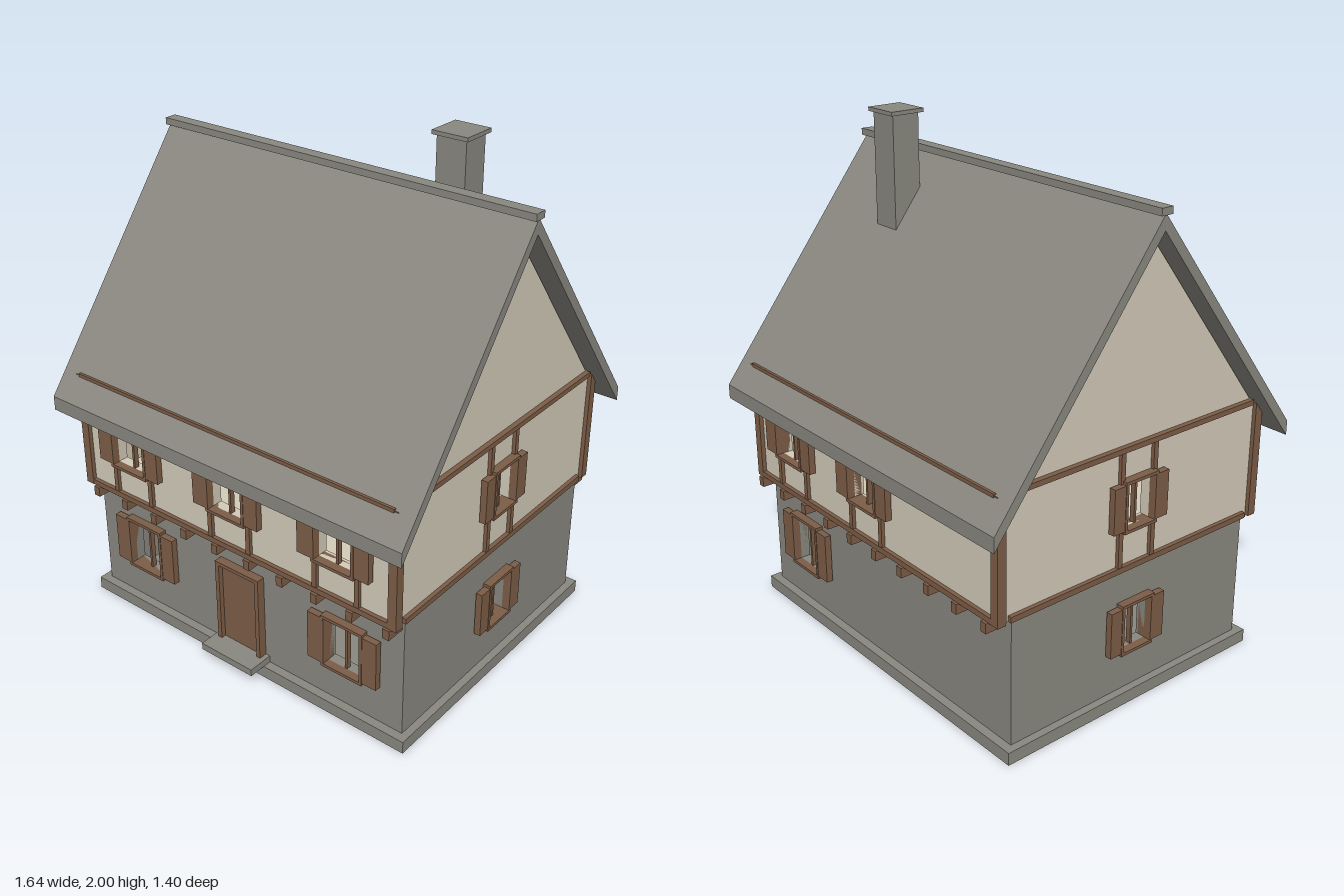
import * as THREE from 'three';

const mat = (name, color) => {
  const m = new THREE.MeshStandardMaterial({ color });
  m.name = name;
  return m;
};

export function createModel() {
  const stone = mat('grey stone', 0x8a8880);
  const plaster = mat('cream plaster', 0xd4ccba);
  const wood = mat('brown timber', 0x7d5d47);
  const house = new THREE.Group();
  house.name = 'house';

  // Box given by its min and max corners
  const box = (parent, name, m, x0, x1, y0, y1, z0, z1) => {
    const mesh = new THREE.Mesh(new THREE.BoxGeometry(x1 - x0, y1 - y0, z1 - z0), m);
    mesh.position.set((x0 + x1) / 2, (y0 + y1) / 2, (z0 + z1) / 2);
    mesh.name = name;
    parent.add(mesh);
    return mesh;
  };

  // Polygon in the z-y plane, extruded along x from -half to half
  const gableExtrude = (name, m, points, half) => {
    const shape = new THREE.Shape(points.map(([z, y]) => new THREE.Vector2(z, y)));
    const geo = new THREE.ExtrudeGeometry(shape, { depth: half * 2, bevelEnabled: false });
    geo.translate(0, 0, -half);
    geo.rotateY(-Math.PI / 2);
    const mesh = new THREE.Mesh(geo, m);
    mesh.name = name;
    house.add(mesh);
  };

  // Window: frame, centre bar and a shutter on each side
  const addWindow = (side, { x, w, y0, y1, sw }) => {
    const g = new THREE.Group();
    g.name = 'window';
    g.position.x = x;
    side.add(g);
    const t = 0.012, out = 0.032;
    for (const s of [-1, 1]) {
      const inner = s * w, outer = s * (w + t), far = s * (w + t + sw);
      box(g, 'frameJamb', wood, Math.min(inner, outer), Math.max(inner, outer), y0 - t, y1 + t, -0.03, out);
      box(g, 'shutter', wood, Math.min(outer, far), Math.max(outer, far), y0, y1, 0.004, 0.03);
    }
    box(g, 'sill', wood, -w, w, y0 - t, y0, -0.03, out);
    box(g, 'lintel', wood, -w, w, y1, y1 + t, -0.03, out);
    box(g, 'mullion', wood, -0.005, 0.005, y0, y1, -0.02, 0);
  };

  // One wall with window openings; its outer face lies at local z = 0
  const THICK = 0.04;
  const addWall = (name, m, angle, dist, half, y0, y1, windows, timber) => {
    const side = new THREE.Group();
    side.name = name;
    side.rotation.y = angle;
    side.position.set(Math.sin(angle) * dist, 0, Math.cos(angle) * dist);
    house.add(side);
    const rect = (C, a, b, c, d) => {
      const p = new C();
      p.moveTo(a, c); p.lineTo(b, c); p.lineTo(b, d); p.lineTo(a, d); p.closePath();
      return p;
    };
    const shape = rect(THREE.Shape, -half, half, y0, y1);
    for (const w of windows) shape.holes.push(rect(THREE.Path, w.x - w.w, w.x + w.w, w.y0, w.y1));
    const geo = new THREE.ExtrudeGeometry(shape, { depth: THICK, bevelEnabled: false });
    geo.translate(0, 0, -THICK);
    const wall = new THREE.Mesh(geo, m);
    wall.name = 'wallPanel';
    side.add(wall);
    for (const w of windows) {
      addWindow(side, w);
      // Posts standing beside upper windows
      if (timber) for (const s of [-1, 1]) {
        const px = w.x + s * (w.w + 0.012);
        box(side, 'post', wood, px - 0.01, px + 0.01, y0 + 0.02, y1 - 0.02, -0.01, 0.014);
      }
    }
    if (timber) {
      box(side, 'bottomRail', wood, -half, half, y0, y0 + 0.022, -0.01, 0.016);
      box(side, 'topRail', wood, -half, half, y1 - 0.018, y1 + 0.002, -0.01, 0.02);
    }
    return side;
  };

  // Plinth and doorstep
  box(house, 'plinth', stone, -0.77, 0.77, 0, 0.05, -0.6, 0.6);
  box(house, 'doorstep', stone, -0.125, 0.125, 0.05, 0.078, 0.55, 0.67);

  // Both storeys
  const low = (x) => ({ x, w: 0.08, y0: 0.21, y1: 0.41, sw: 0.062 });
  const high = (x) => ({ x, w: 0.08, y0: 0.692, y1: 0.89, sw: 0.062 });
  const sideLow = { x: 0, w: 0.066, y0: 0.222, y1: 0.404, sw: 0.052 };
  const sideHigh = { x: 0, w: 0.066, y0: 0.71, y1: 0.885, sw: 0.052 };
  const H = Math.PI / 2, X = 0.49;
  const front = addWall('groundFront', stone, 0, 0.565, 0.74, 0.05, 0.54, [low(-X), low(X)]);
  addWall('groundBack', stone, Math.PI, 0.565, 0.74, 0.05, 0.54, [low(-X)]);
  addWall('upperFront', plaster, 0, 0.615, 0.735, 0.54, 1.02, [high(-X), high(0), high(X)], true);
  addWall('upperBack', plaster, Math.PI, 0.615, 0.735, 0.54, 1.02, [high(-X), high(0)], true);
  for (const a of [H, -H]) {
    addWall('groundEnd', stone, a, 0.74, 0.565 - THICK, 0.05, 0.54, [sideLow]);
    addWall('upperEnd', plaster, a, 0.735, 0.615 - THICK, 0.54, 1.02, [sideHigh], true);
  }
  box(house, 'upperFloor', plaster, -0.73, 0.73, 0.541, 0.56, -0.61, 0.61);

  // Corner posts
  for (const sx of [-1, 1]) for (const sz of [-1, 1]) {
    const p = box(house, 'cornerPost', wood, -0.018, 0.018, 0.54, 1.015, -0.018, 0.018);
    p.position.x = sx * 0.733;
    p.position.z = sz * 0.614;
  }

  // Joist ends carrying the overhang
  for (let i = 0; i < 10; i++) for (const s of [-1, 1]) {
    const x = -0.688 + i * 0.156;
    box(house, 'joistEnd', wood, x - 0.014, x + 0.014, 0.502, 0.541, s > 0 ? 0.55 : -0.642, s > 0 ? 0.642 : -0.55);
  }

  // Door
  box(front, 'door', wood, -0.088, 0.088, 0.078, 0.415, -0.01, 0.014);
  for (const s of [-1, 1]) box(front, 'doorJamb', wood, s * 0.097 - 0.009, s * 0.097 + 0.009, 0.078, 0.415, -0.01, 0.034);
  box(front, 'doorLintel', wood, -0.106, 0.106, 0.415, 0.43, -0.01, 0.034);

  // Gable, roof and ridge
  gableExtrude('gable', plaster, [[-0.575, 1.02], [0.575, 1.02], [0, 1.76]], 0.735);
  gableExtrude('roof', stone, [[0.7, 0.868], [0.7, 0.925], [0, 1.825], [-0.7, 0.925], [-0.7, 0.868], [0, 1.768]], 0.815);
  box(house, 'ridgeCap', stone, -0.82, 0.82, 1.82, 1.846, -0.025, 0.025);

  // Chimney
  box(house, 'chimney', stone, 0.35, 0.47, 1.5, 1.985, -0.206, -0.092);
  box(house, 'chimneyCap', stone, 0.337, 0.483, 1.985, 2, -0.22, -0.078);

  return house;
}
